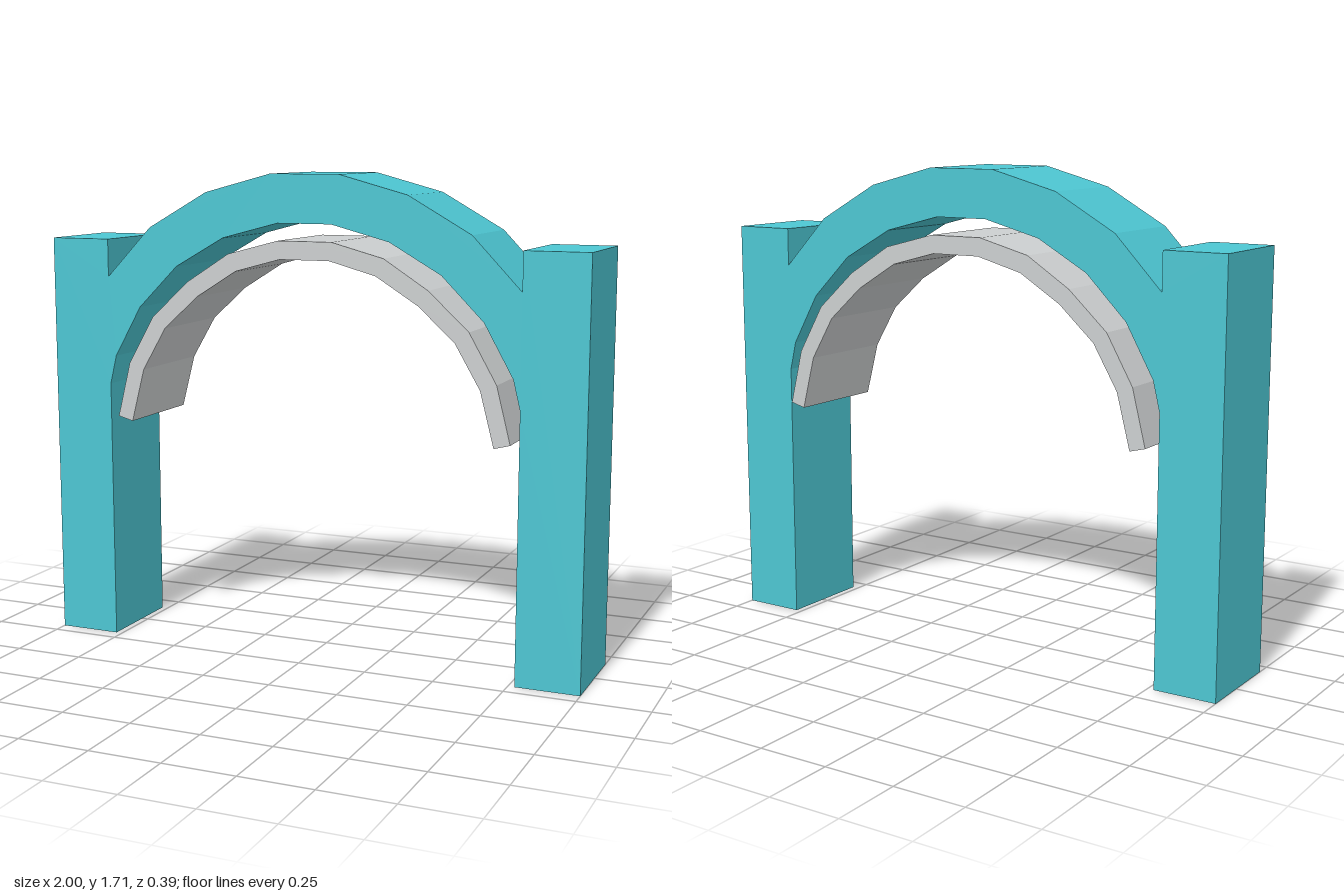
import * as THREE from 'three';

// Completes a half outline (+x side) by mirroring it in x.
const mirror = (half) => half.map(([x, y]) => [-x, y]).reverse();

// Extrudes a closed outline from zBack to zFront.
function slab(name, points, zBack, zFront, material) {
  const shape = new THREE.Shape(points.map(([x, y]) => new THREE.Vector2(x, y)));
  const geometry = new THREE.ExtrudeGeometry(shape, { depth: zFront - zBack, bevelEnabled: false });
  geometry.translate(0, 0, zBack);
  const mesh = new THREE.Mesh(geometry, material);
  mesh.name = name;
  return mesh;
}

export function createModel() {
  const teal = new THREE.MeshStandardMaterial({ color: 0x4dc6d2 });
  teal.name = 'teal';
  const paleGrey = new THREE.MeshStandardMaterial({ color: 0xcccfd0 });
  paleGrey.name = 'pale grey';

  const group = new THREE.Group();
  group.name = 'archway';

  // Pillars and arch in one piece: down the inside of one leg, up its outside, over the top
  const innerHalf = [[0.1, 1.54], [0.31, 1.485], [0.495, 1.38], [0.645, 1.23], [0.748, 1.048], [0.773, 0.945], [0.773, 0]];
  const outerHalf = [[1, 0], [1, 1.47], [0.773, 1.47], [0.773, 1.335], [0.6, 1.515], [0.375, 1.642], [0.127, 1.708]];
  const frameHalf = [...innerHalf, ...outerHalf];
  group.add(slab('archFrame', [...frameHalf, ...mirror(frameHalf)], -0.16, 0.195, teal));

  // Curved lining band hanging just below the arch
  const bandOuter = [[0.1, 1.48], [0.29, 1.43], [0.45, 1.328], [0.594, 1.196], [0.692, 1.025], [0.742, 0.827]];
  const bandInner = [[0.685, 0.812], [0.635, 1.004], [0.545, 1.157], [0.415, 1.275], [0.262, 1.37], [0.092, 1.416]];
  const bandHalf = [...bandOuter, ...bandInner];
  group.add(slab('liningBand', [...bandHalf, ...mirror(bandHalf)], -0.195, 0.195, paleGrey));

  return group;
}
